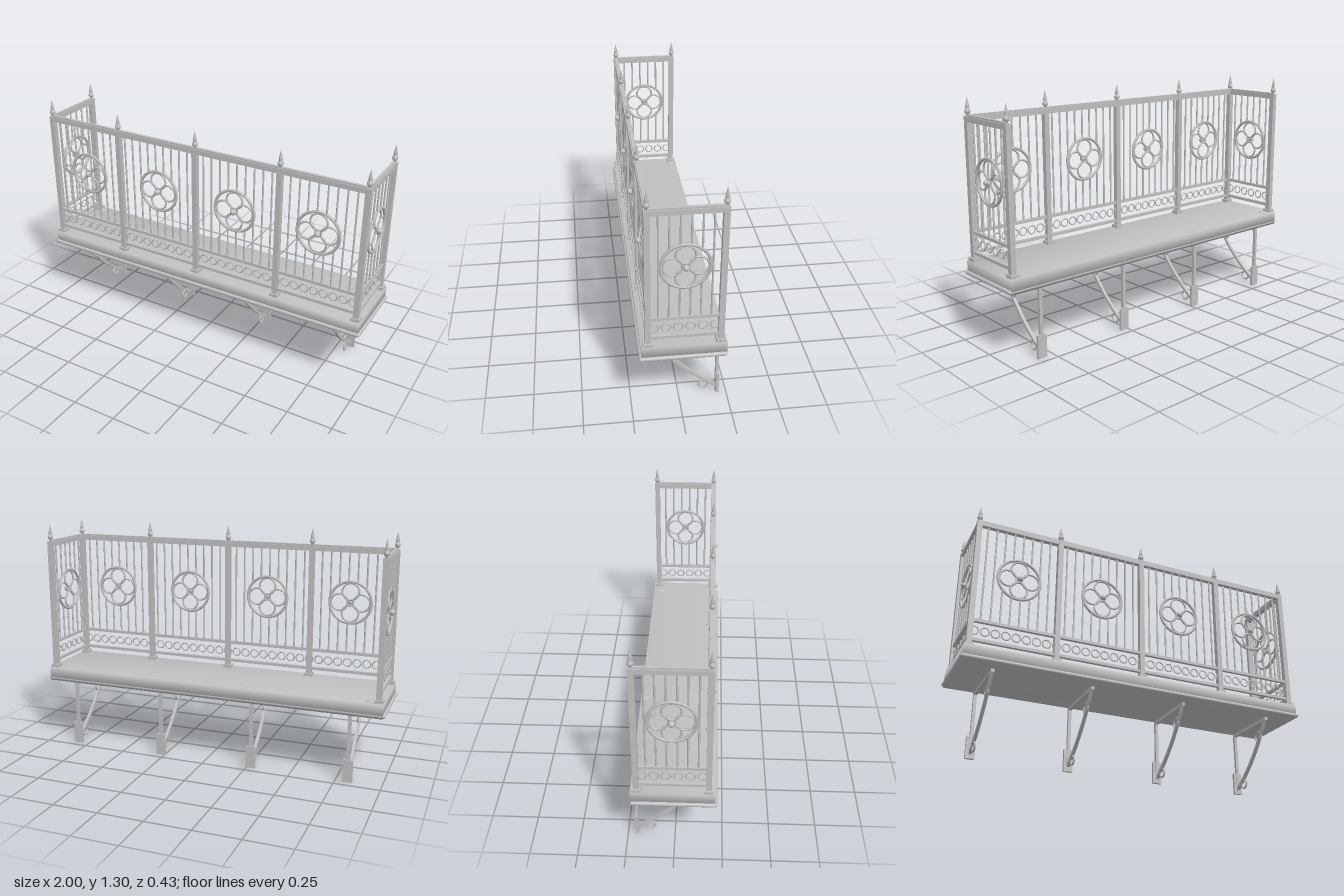
import * as THREE from 'three';
import { RoundedBoxGeometry } from 'three/addons/geometries/RoundedBoxGeometry.js';
import { mergeVertices } from 'three/addons/utils/BufferGeometryUtils.js';

const iron = new THREE.MeshStandardMaterial({ color: 0xc0c0c0 });
iron.name = 'grey iron';

function add(parent, name, geometry, x = 0, y = 0, z = 0) {
  const mesh = new THREE.Mesh(geometry, iron);
  mesh.name = name;
  mesh.position.set(x, y, z);
  parent.add(mesh);
  return mesh;
}
const box = (w, h, d) => new THREE.BoxGeometry(w, h, d);

// Box with normals shared across its edges
function smoothBox(w, h, d) {
  const g = box(w, h, d);
  g.deleteAttribute('normal');
  g.deleteAttribute('uv');
  const merged = mergeVertices(g);
  merged.computeVertexNormals();
  return merged;
}

const ROSE_Y = 0.896, ROSE_R = 0.117;
const RAIL_LOW = 0.608, RAIL_TOP = 1.176;

// Upright bar between two heights
function addBar(parent, x, y0, y1) {
  add(parent, 'baluster', new THREE.CylinderGeometry(0.005, 0.005, y1 - y0, 8), x, (y0 + y1) / 2, 0);
}

// Rosette: rim, four circles and a boss
function makeRosette(x) {
  const rosette = new THREE.Group();
  rosette.name = 'rosette';
  rosette.position.set(x, ROSE_Y, 0);
  add(rosette, 'rosetteRim', new THREE.TorusGeometry(ROSE_R, 0.008, 8, 36));
  const petal = new THREE.TorusGeometry(0.047, 0.0055, 8, 24);
  for (let i = 0; i < 4; i++) {
    const a = i * Math.PI / 2;
    add(rosette, 'rosettePetal', petal, 0.062 * Math.cos(a), 0.062 * Math.sin(a), 0);
  }
  add(rosette, 'rosetteBoss', new THREE.SphereGeometry(0.016, 14, 10), 0, 0, 0.016);
  return rosette;
}

// One run of railing along local x, its outside facing local +z
function makeRailing(width, bars, rings, ringPitch, roseXs) {
  const railing = new THREE.Group();
  railing.name = 'railing';
  add(railing, 'topRail', box(width, 0.026, 0.026), 0, 1.187, 0);
  add(railing, 'handrailCap', box(width, 0.009, 0.016), 0, 1.2045, 0);
  add(railing, 'middleRail', box(width, 0.016, 0.018), 0, RAIL_LOW, 0);
  add(railing, 'bottomRail', box(width, 0.016, 0.018), 0, 0.499, 0);

  // Balusters stop at the rims of the rosettes
  for (let i = 1; i <= bars; i++) {
    const x = (i / (bars + 1) - 0.5) * width;
    const offset = Math.min(...roseXs.map((rx) => Math.abs(x - rx)));
    if (offset < ROSE_R) {
      const h = Math.sqrt(ROSE_R * ROSE_R - offset * offset);
      addBar(railing, x, RAIL_LOW, ROSE_Y - h);
      addBar(railing, x, ROSE_Y + h, RAIL_TOP);
    } else addBar(railing, x, RAIL_LOW, RAIL_TOP);
  }

  // Frieze of small rings
  const ringGeometry = new THREE.TorusGeometry(0.0225, 0.0038, 6, 20);
  for (let i = 0; i < rings; i++) {
    add(railing, 'friezeRing', ringGeometry, (i - (rings - 1) / 2) * ringPitch, 0.553, 0);
  }
  for (const x of roseXs) railing.add(makeRosette(x));
  return railing;
}

// Square post with foot and spiked finial
const finialProfile = [
  [0.008, 0], [0.007, 0.009], [0.013, 0.015], [0.016, 0.024], [0.013, 0.033],
  [0.007, 0.039], [0.011, 0.042], [0.009, 0.056], [0.004, 0.08], [0, 0.097],
].map(([r, y]) => new THREE.Vector2(r, y));

function makePost(x, z) {
  const post = new THREE.Group();
  post.name = 'post';
  post.position.set(x, 0, z);
  add(post, 'postShaft', box(0.029, 0.75, 0.029), 0, 0.828, 0);
  add(post, 'postFoot', box(0.047, 0.018, 0.047), 0, 0.463, 0);
  add(post, 'finial', new THREE.LatheGeometry(finialProfile, 14), 0, 1.202, 0);
  return post;
}

// Wall bracket under the slab
function makeBracket(x) {
  const bracket = new THREE.Group();
  bracket.name = 'bracket';
  bracket.position.x = x;
  add(bracket, 'bracketArm', box(0.018, 0.018, 0.35), 0, 0.366, -0.034);
  add(bracket, 'bracketUpright', box(0.018, 0.375, 0.016), 0, 0.1875, -0.201);
  add(bracket, 'wallPlate', box(0.052, 0.125, 0.015), 0, 0.0625, -0.2045);

  // Curved strut: a flat band swept in the z-y plane
  const curve = new THREE.QuadraticBezierCurve(
    new THREE.Vector2(0.122, 0.36), new THREE.Vector2(0, 0.16), new THREE.Vector2(-0.2, 0.03));
  const outer = [], inner = [];
  for (let i = 0; i <= 14; i++) {
    const p = curve.getPoint(i / 14), t = curve.getTangent(i / 14);
    outer.push(new THREE.Vector2(p.x - t.y * 0.008, p.y + t.x * 0.008));
    inner.unshift(new THREE.Vector2(p.x + t.y * 0.008, p.y - t.x * 0.008));
  }
  const band = new THREE.ExtrudeGeometry(new THREE.Shape([...outer, ...inner]), { depth: 0.016, bevelEnabled: false });
  band.translate(0, 0, -0.008).rotateY(-Math.PI / 2);
  add(bracket, 'bracketStrut', band);

  // Scroll rings beside the strut
  for (const [z, y, r] of [[0.049, 0.284, 0.028], [-0.131, 0.045, 0.024]]) {
    add(bracket, 'scrollRing', new THREE.TorusGeometry(r, 0.0055, 8, 24), 0, y, z).rotation.y = Math.PI / 2;
  }
  return bracket;
}

export function createModel() {
  const model = new THREE.Group();
  model.name = 'balcony';

  // Floor slab with a projecting moulding around its lower edge
  add(model, 'slab', smoothBox(1.976, 0.079, 0.418), 0, 0.4155, -0.005);
  add(model, 'slabMoulding', new RoundedBoxGeometry(2, 0.022, 0.43, 3, 0.0105), 0, 0.389, 0);

  // Low worn bumps on the floor
  for (const [x, z, r] of [[-0.92, -0.18, 0.03], [-0.25, -0.186, 0.027], [0.89, -0.168, 0.027]]) {
    add(model, 'floorBump', new THREE.SphereGeometry(r, 14, 8), x, 0.455, z).scale.y = 0.2;
  }

  // Posts
  const frontZ = 0.171, backZ = -0.184, endX = 0.96;
  for (const x of [-endX, -0.496, 0, 0.496, endX]) model.add(makePost(x, frontZ));
  for (const x of [-endX, endX]) model.add(makePost(x, backZ));

  // Front railing
  const front = makeRailing(2 * endX, 37, 35, 0.0551, [-0.72, -0.24, 0.24, 0.72]);
  front.position.z = frontZ;
  model.add(front);

  // End railings
  for (const side of [-1, 1]) {
    const end = makeRailing(frontZ - backZ, 6, 6, 0.059, [0]);
    end.position.set(side * endX, 0, (frontZ + backZ) / 2);
    end.rotation.y = side * Math.PI / 2;
    model.add(end);
  }

  // Brackets
  for (const x of [-0.817, -0.273, 0.273, 0.817]) model.add(makeBracket(x));
  return model;
}
